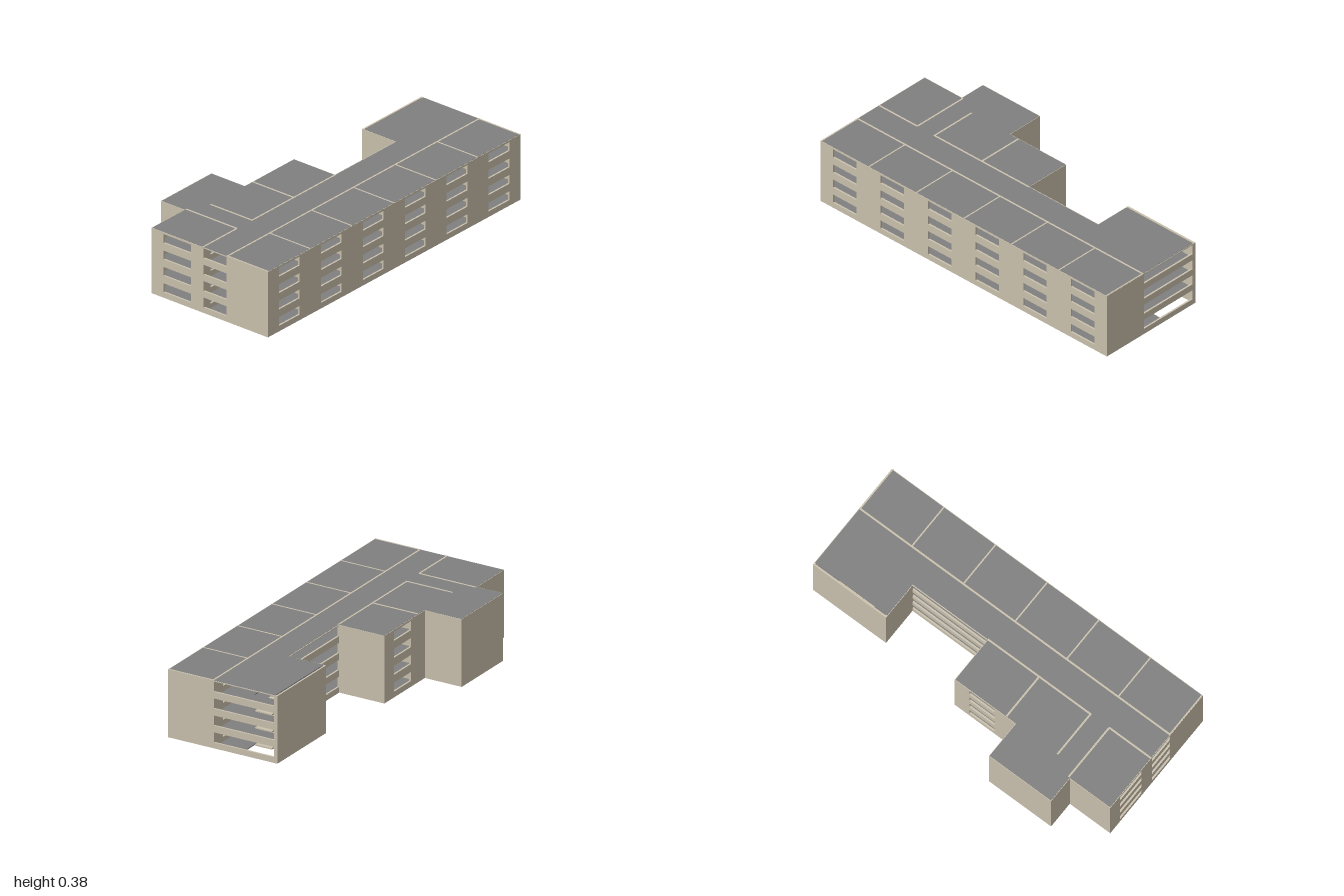
import * as THREE from 'three';

const STOREY = 0.0935, TOP = 0.373, T = 0.01;
const WIN = [0.032, 0.082];   // window sill and head within a storey
const OPEN = [0.032, 0.088];  // open gallery between parapet and slab

export function createModel() {
  const model = new THREE.Group();
  model.name = 'building';
  const beige = new THREE.MeshStandardMaterial({ color: 0xcbc2ae, side: THREE.DoubleSide });
  beige.name = 'beige plaster';
  const grey = new THREE.MeshStandardMaterial({ color: 0x808080 });
  grey.name = 'grey slab';

  function add(name, geo, mat) {
    const mesh = new THREE.Mesh(geo, mat);
    mesh.name = name;
    model.add(mesh);
    return mesh;
  }
  function box(name, mat, x0, x1, y0, y1, z0, z1) {
    const geo = new THREE.BoxGeometry(x1 - x0, y1 - y0, z1 - z0);
    geo.translate((x0 + x1) / 2, (y0 + y1) / 2, (z0 + z1) / 2);
    return add(name, geo, mat);
  }

  // Full height wall from a to b, with each opening repeated on all four storeys
  function wallGeometry(a, b, openings, heights) {
    const s = new THREE.Shape();
    s.moveTo(a, 0).lineTo(b, 0).lineTo(b, TOP).lineTo(a, TOP).closePath();
    for (const [u0, u1] of openings) {
      for (let i = 0; i < 4; i++) {
        const y0 = i * STOREY + heights[0], y1 = i * STOREY + heights[1];
        const h = new THREE.Path();
        h.moveTo(u0, y0).lineTo(u0, y1).lineTo(u1, y1).lineTo(u1, y0).closePath();
        s.holes.push(h);
      }
    }
    const geo = new THREE.ExtrudeGeometry(s, { depth: T, bevelEnabled: false });
    geo.translate(0, 0, -T / 2);
    return geo;
  }
  const wallX = (name, z, x0, x1, openings = [], heights = WIN) =>
    add(name, wallGeometry(x0, x1, openings, heights), beige).position.z = z;
  function wallZ(name, x, z0, z1, openings = [], heights = WIN) {
    const geo = wallGeometry(z0, z1, openings, heights);
    geo.rotateY(-Math.PI / 2);
    add(name, geo, beige).position.x = x;
  }

  // Front row of six rooms
  const frontWindows = [];
  for (let i = 0; i < 6; i++) {
    const c = -0.83 + i * 0.332;
    frontWindows.push([c - 0.082, c + 0.082]);
  }
  wallX('frontWall', 0.455, -1, 1, frontWindows);
  wallX('corridorFrontWall', 0.19, -1, 1, frontWindows);
  for (let i = 1; i < 6; i++) wallZ('roomDivider', -1 + i / 3, 0.19, 0.455);

  // End walls, with the corridor open at both ends
  const rightEnd = [[-0.175, 0.186]];
  wallZ('leftEndWall', 0.995, -0.195, 0.46, rightEnd, OPEN);
  wallZ('rightEndRoomWall', -0.995, 0.186, 0.46);
  wallZ('rightEndCorridorWall', -0.995, 0.025, 0.19, [[0.032, 0.186]], OPEN);
  wallZ('rightEndWingWall', -0.995, -0.31, 0.03, [[-0.23, -0.05]]);

  // Corridor back wall and open gallery parapets
  wallX('galleryParapet', 0.03, 0.05, 0.535, [[0.052, 0.533]], OPEN);
  wallX('corridorBackWall', 0.03, -0.615, 0.05, [[-0.53, -0.365], [-0.205, -0.045]]);
  wallX('cornerRoomWall', 0.03, -1, -0.73, [[-0.945, -0.785]]);

  // Corner room
  wallX('cornerRoomBackWall', -0.305, -1, -0.73);
  wallZ('cornerRoomSideWall', -0.73, -0.31, 0.03);

  // Two rear rooms
  wallX('rearRoomBackWall', -0.24, -0.61, 0.05,
    [[-0.53, -0.365], [-0.205, -0.045]]);
  wallZ('rearRoomSideWall', 0.045, -0.245, 0.03);
  wallZ('rearRoomDivider', -0.28, -0.24, 0.03);
  wallZ('rearRoomSideWall', -0.61, -0.24, 0.03);

  // Projecting rear stair tower
  wallX('stairTowerBackWall', -0.46, -0.74, -0.34);
  wallZ('stairTowerSideWall', -0.345, -0.465, -0.24);
  wallZ('stairTowerSideWall', -0.735, -0.465, -0.3);

  // Side stair block
  wallX('stairBlockBackWall', -0.19, 0.53, 1);
  wallZ('stairBlockSideWall', 0.535, -0.195, 0.03);

  // Slabs: x0, x1, z0, z1
  const areas = [
    [-0.997, 0.997, 0.03, 0.457],
    [-0.997, -0.73, -0.307, 0.03],
    [-0.73, 0.047, -0.242, 0.03],
  ];
  const stairRoofs = [[-0.737, -0.343, -0.462, -0.242], [0.533, 0.997, -0.18, 0.03]];
  const landings = [[-0.73, -0.61, -0.46, -0.242], [0.86, 0.997, -0.185, 0.03]];
  for (const [x0, x1, z0, z1] of areas) {
    box('groundSlab', beige, x0, x1, 0, 0.003, z0, z1);
    box('groundFloor', grey, x0, x1, 0.003, 0.006, z0, z1);
  }
  for (let i = 1; i < 4; i++) {
    const y = i * STOREY;
    for (const [x0, x1, z0, z1] of [...areas, ...landings])
      box('upperFloor', grey, x0, x1, y - 0.004, y + 0.001, z0, z1);
  }
  for (const [x0, x1, z0, z1] of [...areas, ...stairRoofs])
    box('roof', grey, x0, x1, TOP - 0.004, TOP + 0.001, z0, z1);

  // Wall heads showing as thin lines in the roof
  const line = (x0, x1, z0, z1) =>
    box('roofLine', beige, x0, x1, TOP, TOP + 0.002, z0, z1);
  line(-1, 1, 0.185, 0.195);
  line(-1, -0.73, 0.025, 0.035);
  line(-0.615, 0.05, 0.025, 0.035);
  for (let i = 0; i <= 6; i++) {
    const x = -0.995 + i * 1.99 / 6;
    line(x - 0.004, x + 0.004, 0.19, 0.46);
  }
  line(-0.735, -0.725, -0.307, 0.03);
  line(-0.615, -0.605, -0.245, 0.03);
  line(-0.285, -0.275, -0.24, 0.03);

  // Stair flight rising from x0 to x1, stepped above and sloped below
  function flight(x0, x1, y0, z0, z1) {
    const n = 6, dx = (x1 - x0) / n, dy = STOREY / 2 / n;
    const s = new THREE.Shape();
    s.moveTo(x0, y0);
    for (let i = 0; i < n; i++) {
      s.lineTo(x0 + i * dx, y0 + (i + 1) * dy);
      s.lineTo(x0 + (i + 1) * dx, y0 + (i + 1) * dy);
    }
    s.lineTo(x1, y0 + n * dy - 0.008);
    s.lineTo(x0 + dx, y0);
    s.closePath();
    const geo = new THREE.ExtrudeGeometry(s, { depth: z1 - z0, bevelEnabled: false });
    geo.translate(0, 0, z0);
    add('stairFlight', geo, beige);
  }
  // Switchback stairs from the landing edge to the half landing and back
  function stairs(xFloor, xHalf, xWall, zNear, zMid, zFar) {
    for (let i = 0; i < 3; i++) {
      const y = i * STOREY, mid = y + STOREY / 2;
      flight(xFloor, xHalf, y, zMid, zNear);
      flight(xHalf, xFloor, mid, zFar, zMid - 0.005);
      box('halfLanding', grey, Math.min(xHalf, xWall), Math.max(xHalf, xWall),
        mid - 0.005, mid, zFar, zNear);
    }
  }
  stairs(0.86, 0.64, 0.535, 0.025, -0.075, -0.185);
  stairs(-0.61, -0.43, -0.345, -0.25, -0.35, -0.455);

  return model;
}
